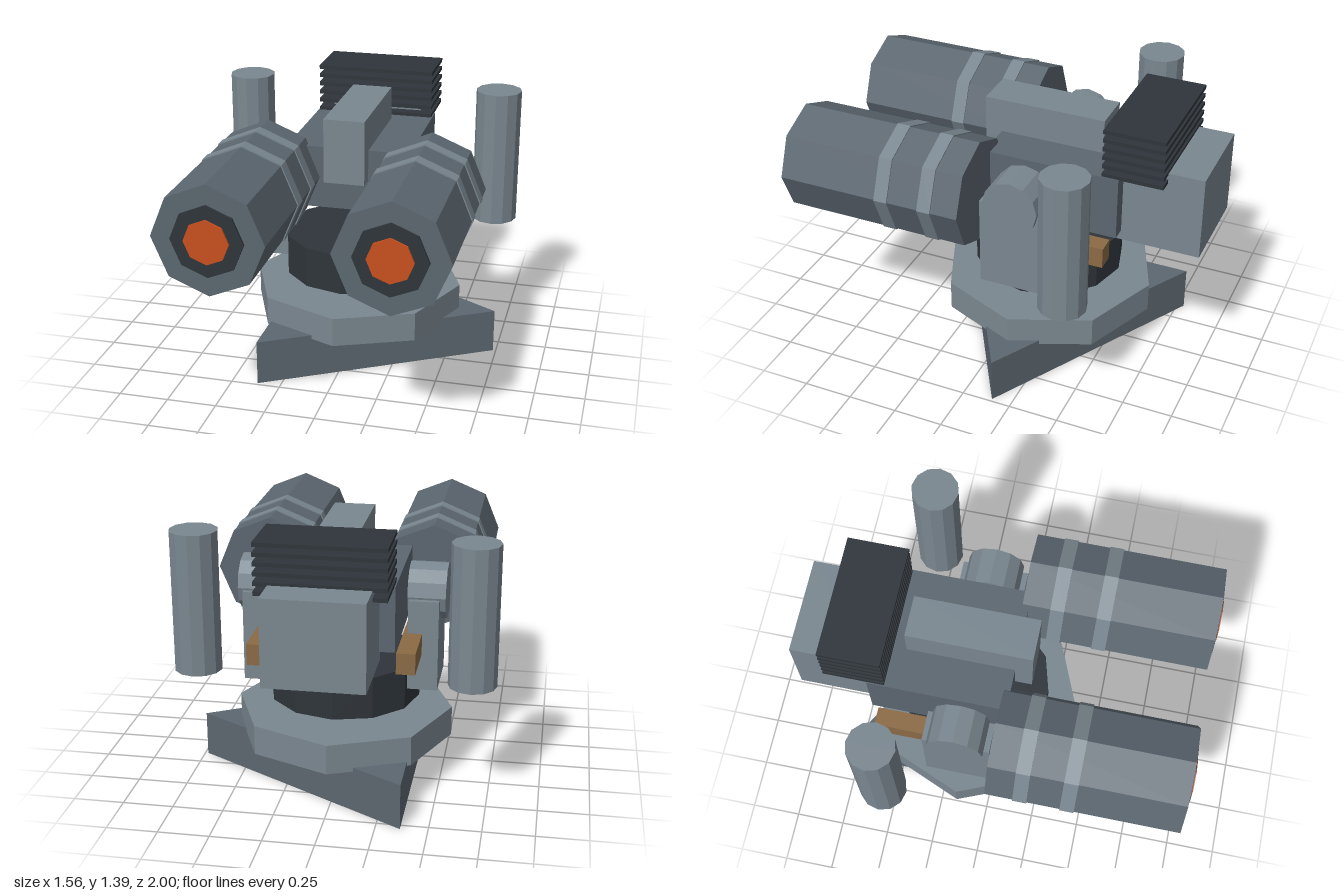
import * as THREE from 'three';

const mat = (color) => new THREE.MeshStandardMaterial({ color, flatShading: true });

export function createModel() {
  const group = new THREE.Group();
  const light = mat(0x7a8790), mid = mat(0x5c6770), dark = mat(0x2f353b);
  const orange = mat(0xc8501e), brown = mat(0x8b6a45);

  const add = (name, geometry, material) => {
    const mesh = new THREE.Mesh(geometry, material);
    mesh.name = name;
    group.add(mesh);
    return mesh;
  };
  // Box given by its extents along each axis
  const box = (name, material, [x0, x1], [y0, y1], [z0, z1]) =>
    add(name, new THREE.BoxGeometry(x1 - x0, y1 - y0, z1 - z0), material)
      .position.set((x0 + x1) / 2, (y0 + y1) / 2, (z0 + z1) / 2);
  // Upright prism
  const upright = (name, material, r, sides, x, z, y0, y1, start = 0) =>
    add(name, new THREE.CylinderGeometry(r, r, y1 - y0, sides, 1, false, start), material)
      .position.set(x, (y0 + y1) / 2, z);
  // Octagonal prism lying along z
  const barrelPart = (name, material, r, x, z0, z1) => {
    const g = new THREE.CylinderGeometry(r, r, z1 - z0, 8).rotateX(Math.PI / 2);
    add(name, g, material).position.set(x, 0.98, (z0 + z1) / 2);
  };

  // Pedestal
  upright('triangularBase', mid, 0.735, 3, 0, -0.15, 0, 0.23, Math.PI / 2);
  upright('baseRing', light, 0.545, 8, 0, -0.15, 0.21, 0.36);
  upright('turretDrum', dark, 0.378, 12, 0, -0.15, 0.42, 0.63);

  // Central body
  box('body', mid, [-0.31, 0.31], [0.82, 1.14], [-0.61, 0.07]);
  box('topHousing', light, [-0.103, 0.103], [0.985, 1.312], [-0.46, 0.155]);
  box('rearHousing', light, [-0.237, 0.237], [0.77, 1.19], [-1, -0.58]);

  // Cooling fins
  for (let i = 0; i < 6; i++) {
    const y = 1.148 + i * 0.0455;
    box('coolingFin', dark, [-0.304, 0.304], [y - 0.01, y + 0.01], [-0.825, -0.525]);
  }

  // Paired parts
  for (const [side, s] of [['left', 1], ['right', -1]]) {
    const span = (a, b) => (s > 0 ? [a, b] : [-b, -a]);
    box(side + 'Arm', light, span(0.333, 0.482), [0.515, 0.97], [-0.312, 0.02]);
    box(side + 'Rail', brown, span(0.312, 0.403), [0.7, 0.805], [-0.58, 0.18]);

    const pivot = new THREE.CylinderGeometry(0.14, 0.14, 0.185, 12).rotateZ(Math.PI / 2);
    add(side + 'Pivot', pivot, light).position.set(s * 0.418, 0.98, -0.147);

    upright(side + 'Canister', light, 0.117, 12, s * 0.665, -0.485, 0.63, 1.33);

    const x = s * 0.417;
    barrelPart(side + 'Barrel', mid, 0.27, x, 0.04, 0.98);
    for (const z of [0.21, 0.437]) barrelPart(side + 'BarrelBand', light, 0.276, x, z - 0.034, z + 0.034);
    barrelPart(side + 'MuzzleRim', dark, 0.174, x, 0.95, 0.991);
    barrelPart(side + 'MuzzleCore', orange, 0.108, x, 0.96, 1);
  }
  return group;
}
